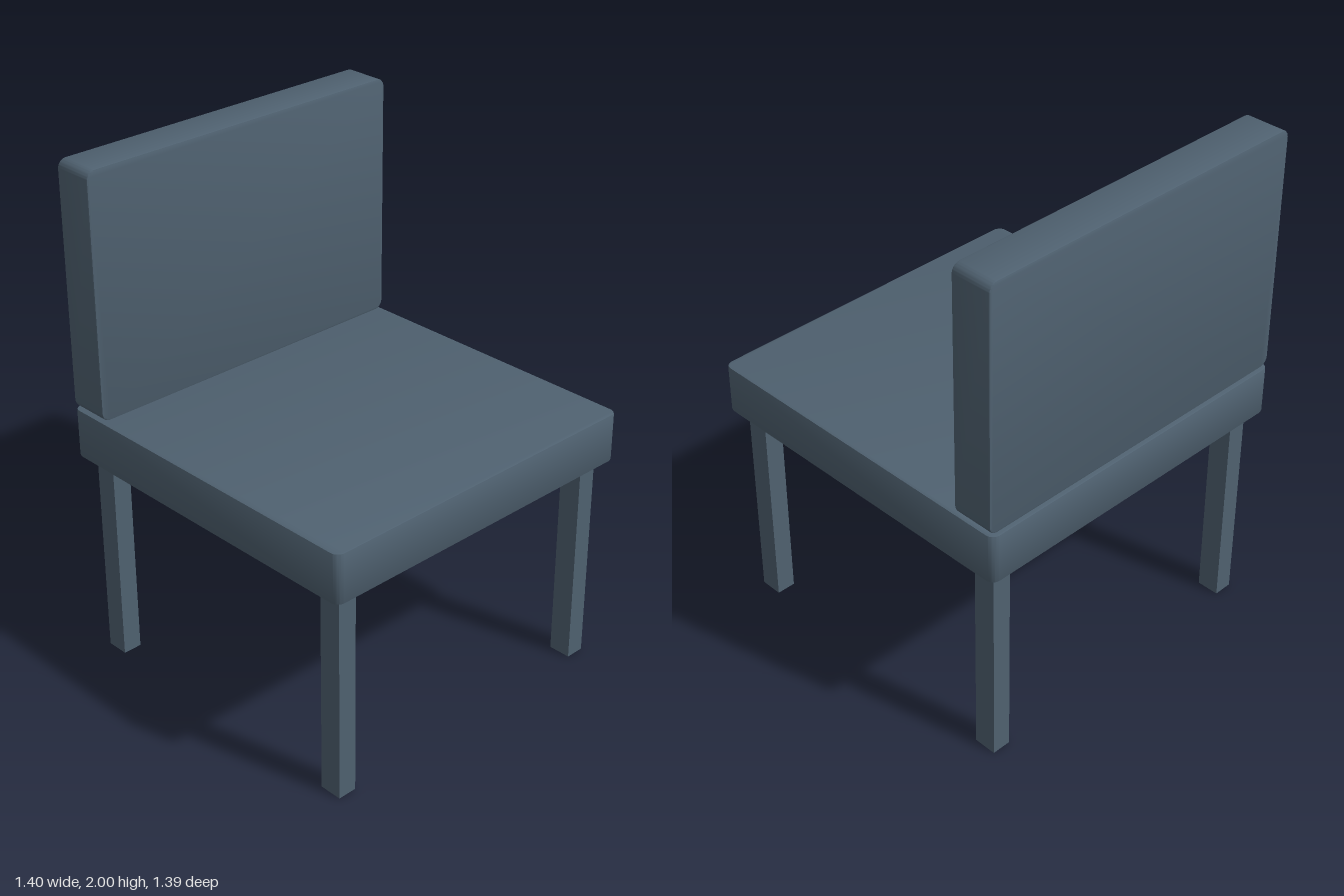
import * as THREE from 'three';
import { toCreasedNormals } from 'three/addons/utils/BufferGeometryUtils.js';

// Slab with rounded outline corners and slightly softened face edges, centred on the origin
function slab(width, height, depth, radius, bevel) {
  const w = width / 2 - bevel, h = height / 2 - bevel, r = radius - bevel;
  const shape = new THREE.Shape();
  shape.absarc(w - r, h - r, r, 0, Math.PI / 2);
  shape.absarc(-w + r, h - r, r, Math.PI / 2, Math.PI);
  shape.absarc(-w + r, -h + r, r, Math.PI, Math.PI * 1.5);
  shape.absarc(w - r, -h + r, r, Math.PI * 1.5, Math.PI * 2);
  const geometry = new THREE.ExtrudeGeometry(shape, {
    depth: depth - 2 * bevel, bevelEnabled: true, bevelSize: bevel,
    bevelThickness: bevel, bevelSegments: 2, curveSegments: 6,
  });
  geometry.translate(0, 0, bevel - depth / 2);
  return toCreasedNormals(geometry, 0.6);
}

export function createModel() {
  const group = new THREE.Group();
  const slate = new THREE.MeshStandardMaterial({ color: 0x4f6170 });
  slate.name = 'slate blue';

  const add = (name, geometry, x, y, z) => {
    const mesh = new THREE.Mesh(geometry, slate);
    mesh.name = name;
    mesh.position.set(x, y, z);
    group.add(mesh);
  };

  // Seat cushion, corners rounded in plan
  const seat = slab(1.4, 1.39, 0.195, 0.035, 0.006);
  seat.rotateX(-Math.PI / 2);
  add('seat', seat, 0, 0.9425, 0);

  // Backrest, corners rounded when seen from the front
  add('backrest', slab(1.4, 0.956, 0.165, 0.035, 0.006), 0, 1.522, -0.6);

  // Four square-edged legs
  const leg = new THREE.BoxGeometry(0.076, 0.85, 0.09);
  for (const [side, x] of [['left', 0.607], ['right', -0.607]]) {
    for (const [end, z] of [['Front', 0.6], ['Back', -0.598]]) {
      add(`${side}${end}Leg`, leg, x, 0.425, z);
    }
  }
  return group;
}
